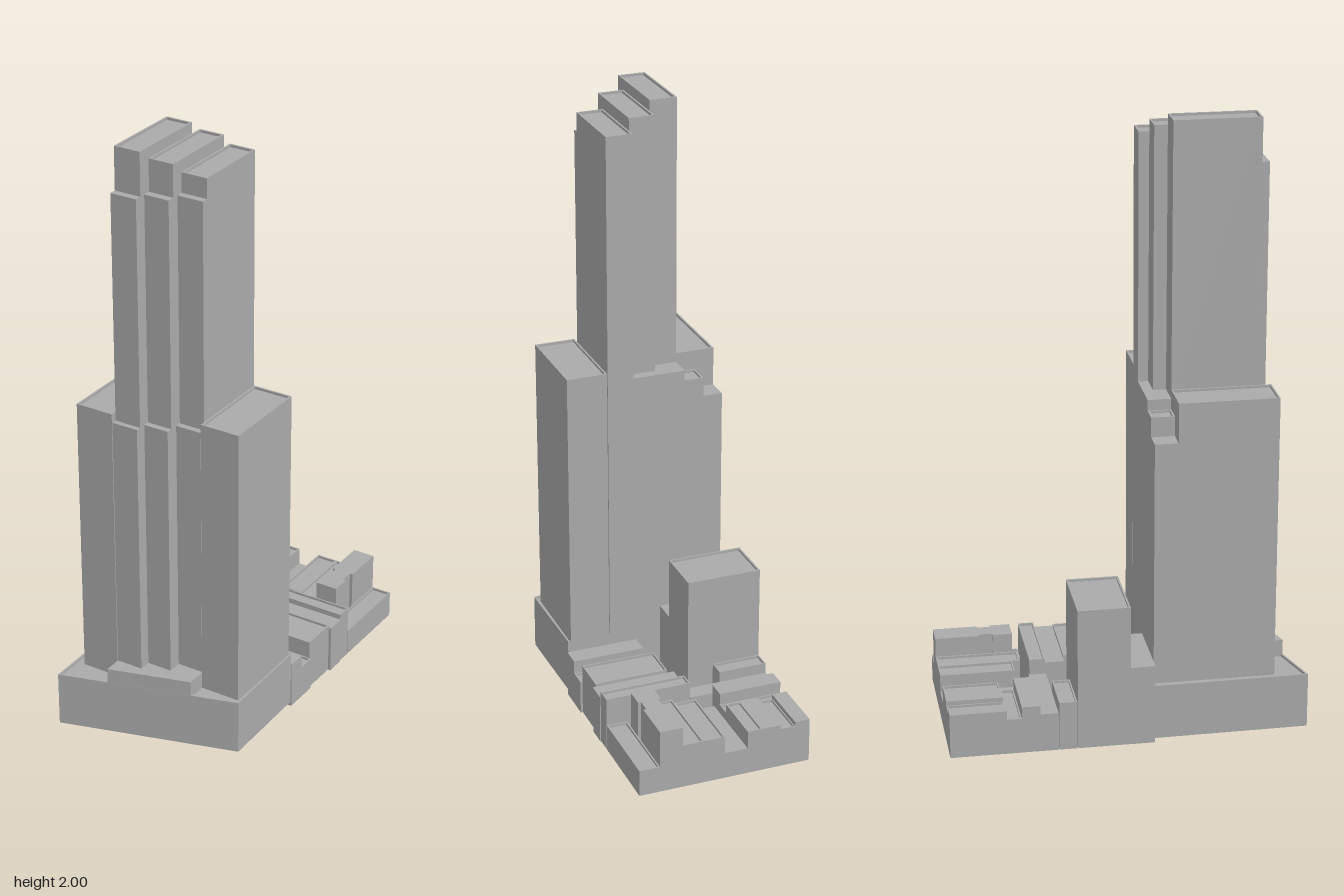
import * as THREE from 'three';

const stone = new THREE.MeshStandardMaterial({ color: 0xaaaaaa, side: THREE.DoubleSide });
stone.name = 'grey stone';

// Hollow block on a convex plan of [x, z] corners: walls, thin parapet and sunken roof, open below
function plan(points, y0, y1, rim = 0.006, sink = 0.008) {
  const n = points.length;
  const inward = points.map(([x, z], i) => {
    const [qx, qz] = points[(i + 1) % n];
    const l = Math.hypot(qx - x, qz - z);
    return [(qz - z) / l, -(qx - x) / l];
  });
  const inset = points.map(([x, z], i) => {
    const a = inward[(i + n - 1) % n], b = inward[i];
    const k = rim / (1 + a[0] * b[0] + a[1] * b[1]);
    return [x + (a[0] + b[0]) * k, z + (a[1] + b[1]) * k];
  });
  const ring = (pts, y) => pts.map(([x, z]) => [x, y, z]);
  const rings = [ring(points, y0), ring(points, y1)];
  if (rim > 0) rings.push(ring(inset, y1), ring(inset, y1 - sink));
  const pos = [];
  for (let r = 0; r < rings.length - 1; r++) {
    for (let i = 0; i < n; i++) {
      const j = (i + 1) % n;
      const [a, b, c, d] = [rings[r][i], rings[r][j], rings[r + 1][j], rings[r + 1][i]];
      pos.push(...a, ...b, ...c, ...a, ...c, ...d);
    }
  }
  const top = rings[rings.length - 1];
  for (let i = 1; i < n - 1; i++) pos.push(...top[0], ...top[i], ...top[i + 1]);
  const g = new THREE.BufferGeometry();
  g.setAttribute('position', new THREE.Float32BufferAttribute(pos, 3));
  g.computeVertexNormals();
  return g;
}

const rect = (x0, x1, z0, z1) => [[x0, z1], [x1, z1], [x1, z0], [x0, z0]];

export function createModel() {
  const model = new THREE.Group();
  model.name = 'towerBlock';

  function add(parent, name, points, y0, y1, rim, sink) {
    const m = new THREE.Mesh(plan(points, y0, y1, rim, sink), stone);
    m.name = name;
    parent.add(m);
  }
  function group(name) {
    const g = new THREE.Group();
    g.name = name;
    model.add(g);
    return g;
  }

  // Podium with a slanted street front and a raised entrance
  const podium = group('podium');
  add(podium, 'podiumBase', [[-0.285, 0.58], [0.29, 0.41], [0.285, 0.08], [-0.29, 0.08]], 0.015, 0.2);
  add(podium, 'entranceBlock', [[-0.125, 0.532], [0.14, 0.454], [0.14, 0.33], [-0.125, 0.33]], 0.19, 0.25, 0);

  // Lower tower: two shoulders and stepped rear corner
  const lower = group('lowerTower');
  add(lower, 'leftShoulder', rect(-0.255, -0.125, 0.155, 0.475), 0.19, 1.14);
  add(lower, 'rightShoulder', rect(0.14, 0.275, 0.08, 0.387), 0.19, 1.14);
  add(lower, 'rearCornerLow', rect(-0.255, -0.19, 0.08, 0.155), 0.19, 1.01, 0);
  add(lower, 'rearCornerHigh', rect(-0.19, -0.125, 0.08, 0.155), 0.19, 1.075);

  // Three staggered slabs: [x0, x1, back, top front, ledge front, base front, height]
  const slabs = group('upperTower');
  for (const [x0, x1, back, f1, f2, f3, top] of [
    [-0.125, -0.035, 0.155, 0.432, 0.455, 0.472, 2.0],
    [-0.035, 0.05, 0.113, 0.387, 0.412, 0.432, 1.965],
    [0.05, 0.138, 0.08, 0.343, 0.365, 0.385, 1.925],
  ]) {
    add(slabs, 'slabBase', rect(x0, x1, 0.08, f3), 0.19, 1.11, 0);
    add(slabs, 'slab', rect(x0, x1, back, f1), 1.11, top);
    add(slabs, 'slabLedge', rect(x0, x1, f1, f2), 1.11, 1.86, 0);
  }

  // Low neighbouring blocks: [x0, x1, z0, z1, height, parapet]
  const low = group('lowBlocks');
  for (const [x0, x1, z0, z1, h, rim] of [
    [-0.29, -0.04, -0.17, 0.0, 0.48, 0.006],
    [-0.29, -0.04, 0.0, 0.08, 0.27, 0],
    [0.045, 0.288, 0.015, 0.08, 0.16, 0],
    [0.072, 0.288, -0.045, 0.015, 0.115, 0.005],
    [0.033, 0.281, -0.17, -0.045, 0.175, 0.005],
    [0.01, 0.29, -0.235, -0.17, 0.165, 0],
    [-0.29, -0.127, -0.23, -0.172, 0.165, 0.005],
    [0.0, 0.287, -0.287, -0.235, 0.183, 0.005],
    [-0.29, 0.0, -0.29, -0.232, 0.13, 0],
    [-0.29, -0.078, -0.35, -0.29, 0.16, 0],
    [-0.29, -0.078, -0.397, -0.35, 0.12, 0.005],
    [-0.29, -0.24, -0.58, -0.397, 0.15, 0],
    [-0.24, -0.19, -0.58, -0.4, 0.135, 0.004],
    [-0.19, -0.128, -0.58, -0.397, 0.15, 0],
    [-0.128, -0.078, -0.58, -0.4, 0.15, 0.005],
    [-0.078, 0.0, -0.58, -0.305, 0.09, 0],
    [0.0, 0.072, -0.58, -0.335, 0.15, 0.005],
    [0.072, 0.142, -0.58, -0.31, 0.15, 0.005],
    [0.142, 0.218, -0.58, -0.435, 0.215, 0],
    [0.152, 0.208, -0.435, -0.39, 0.215, 0],
    [0.142, 0.218, -0.39, -0.325, 0.215, 0],
    [0.218, 0.287, -0.58, -0.29, 0.09, 0.005],
  ]) add(low, 'lowBlock', rect(x0, x1, z0, z1), 0, h, rim);

  return model;
}
